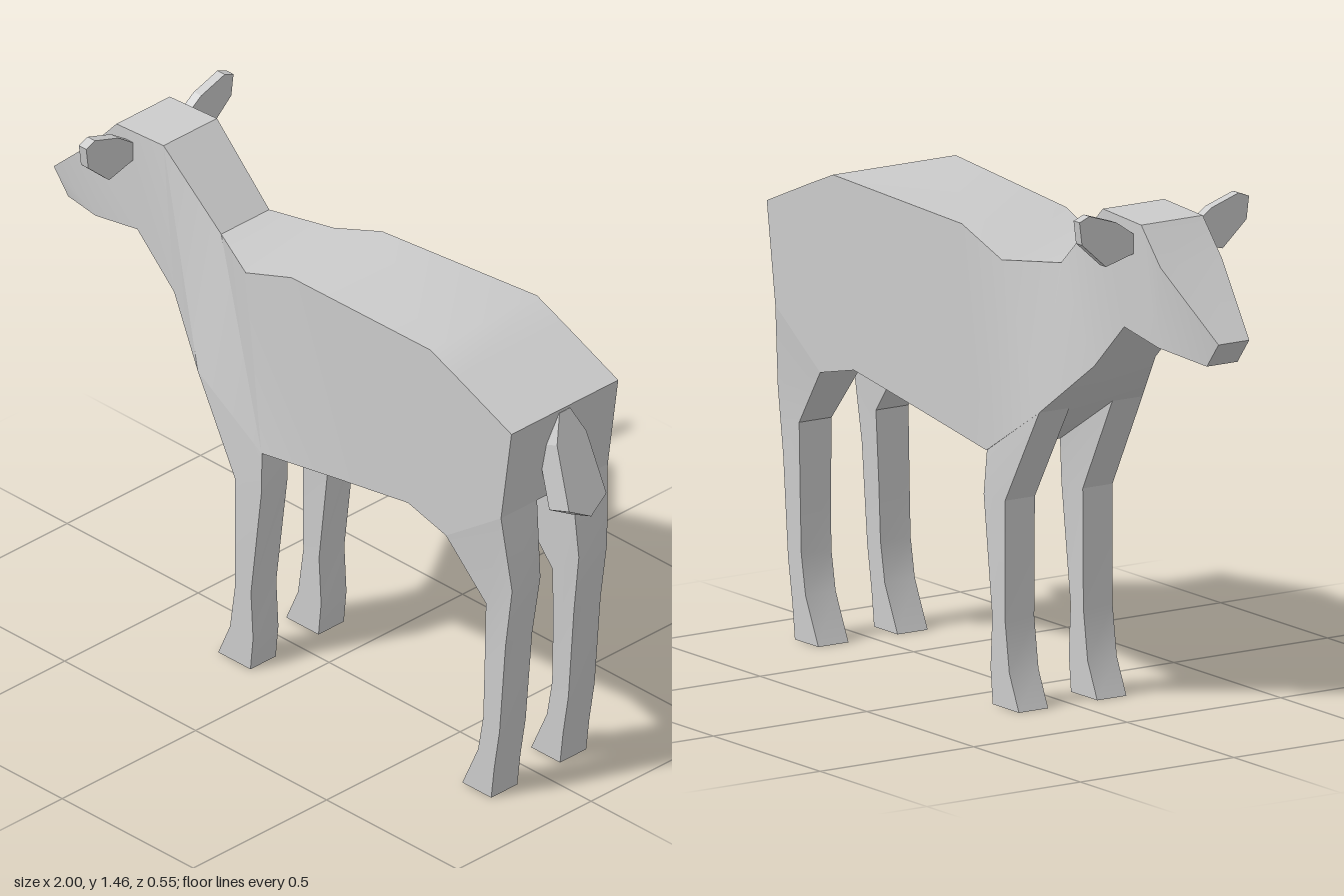
import * as THREE from 'three';
import { toCreasedNormals } from 'three/addons/utils/BufferGeometryUtils.js';

const material = new THREE.MeshStandardMaterial({ color: 0xcccccc });

// Closed skin over a row of four-cornered rings, capped at both ends
function loft(rings) {
  const pos = [];
  const quad = (a, b, c, d) => pos.push(...a, ...b, ...c, ...a, ...c, ...d);
  for (let s = 0; s < rings.length - 1; s++) {
    const a = rings[s], b = rings[s + 1];
    for (let i = 0; i < 4; i++) {
      const j = (i + 1) % 4;
      quad(a[i], a[j], b[j], b[i]);
    }
  }
  quad(...[...rings[0]].reverse());
  quad(...rings[rings.length - 1]);
  const geo = new THREE.BufferGeometry();
  geo.setAttribute('position', new THREE.Float32BufferAttribute(pos, 3));
  return toCreasedNormals(geo, 0.5);
}

function add(group, name, geometry) {
  const mesh = new THREE.Mesh(geometry, material);
  mesh.name = name;
  group.add(mesh);
  return mesh;
}

// Flat plate cut from an outline, centred on its thickness
function plate(points, depth) {
  const shape = new THREE.Shape(points.map(([x, y]) => new THREE.Vector2(x, y)));
  return new THREE.ExtrudeGeometry(shape, { depth, bevelEnabled: false }).translate(0, 0, -depth / 2);
}

// Nose to rump: top x, y, half width, then underside x, y, half width
const BODY = [
  [-1.0, 1.14, 0.05, -0.945, 1.07, 0.05],
  [-0.8, 1.32, 0.1, -0.79, 1.098, 0.1],
  [-0.71, 1.42, 0.1, -0.63, 1.125, 0.1],
  [-0.53, 1.43, 0.1, -0.49, 0.99, 0.1],
  [-0.32, 1.24, 0.09, -0.33, 0.84, 0.168],
  [-0.15, 1.225, 0.165, -0.085, 0.69, 0.17],
  [0.03, 1.29, 0.17, 0.2, 0.743, 0.18],
  [0.59, 1.32, 0.2, 0.5, 0.8, 0.195],
  [0.7, 1.275, 0.2, 0.65, 0.765, 0.2],
  [0.9, 1.19, 0.2, 0.86, 0.91, 0.2],
];

// Legs from the top down: front x, y, back x, y, outer z, inner z
const FRONT_LEG = [
  [-0.33, 0.84, -0.085, 0.69, 0.168, 0.07],
  [-0.18, 0.57, -0.08, 0.57, 0.175, 0.078],
  [-0.18, 0.24, -0.12, 0.24, 0.175, 0.08],
  [-0.2, 0.1, -0.112, 0.1, 0.175, 0.08],
  [-0.245, 0, -0.122, 0, 0.175, 0.08],
];
const HIND_LEG = [
  [0.65, 0.765, 0.86, 0.91, 0.2, 0.065],
  [0.78, 0.6, 0.88, 0.68, 0.178, 0.072],
  [0.775, 0.4, 0.855, 0.5, 0.178, 0.078],
  [0.77, 0.24, 0.832, 0.22, 0.178, 0.08],
  [0.75, 0.13, 0.812, 0.1, 0.178, 0.08],
  [0.69, 0, 0.8, 0, 0.178, 0.08],
];

function leg(sections, side) {
  return loft(sections.map(([xf, yf, xb, yb, outer, inner]) => {
    const [z0, z1] = side > 0 ? [inner, outer] : [-outer, -inner];
    return [[xf, yf, z0], [xb, yb, z0], [xb, yb, z1], [xf, yf, z1]];
  }));
}

export function createModel() {
  const model = new THREE.Group();
  model.name = 'animal';

  // Head, neck and trunk in one skin
  add(model, 'body', loft(BODY.map(([tx, ty, tw, bx, by, bw]) => [
    [tx, ty, -tw], [tx, ty, tw], [bx, by, bw], [bx, by, -bw],
  ])));

  // Legs and ears on both sides
  const earOutline = [[0.08, 1.34], [0.19, 1.31], [0.268, 1.38], [0.276, 1.443],
    [0.243, 1.456], [0.155, 1.427], [0.08, 1.375]];
  for (const side of [1, -1]) {
    const label = side > 0 ? 'Near' : 'Far';
    add(model, 'frontLeg' + label, leg(FRONT_LEG, side));
    add(model, 'hindLeg' + label, leg(HIND_LEG, side));
    const ear = add(model, 'ear' + label, plate(earOutline, 0.028));
    ear.position.x = -0.66;
    ear.rotation.y = -side * Math.PI / 2;
  }

  // Tail: pointed slab hanging out from the rump
  const tail = plate([[0.02, 0], [-0.02, 0], [-0.055, -0.08], [-0.07, -0.265],
    [0, -0.305], [0.07, -0.265], [0.055, -0.08]], 0.08);
  tail.translate(0, 0, -0.04).rotateY(Math.PI / 2).rotateZ(0.336).translate(0.9, 1.18, 0);
  add(model, 'tail', tail);

  return model;
}
